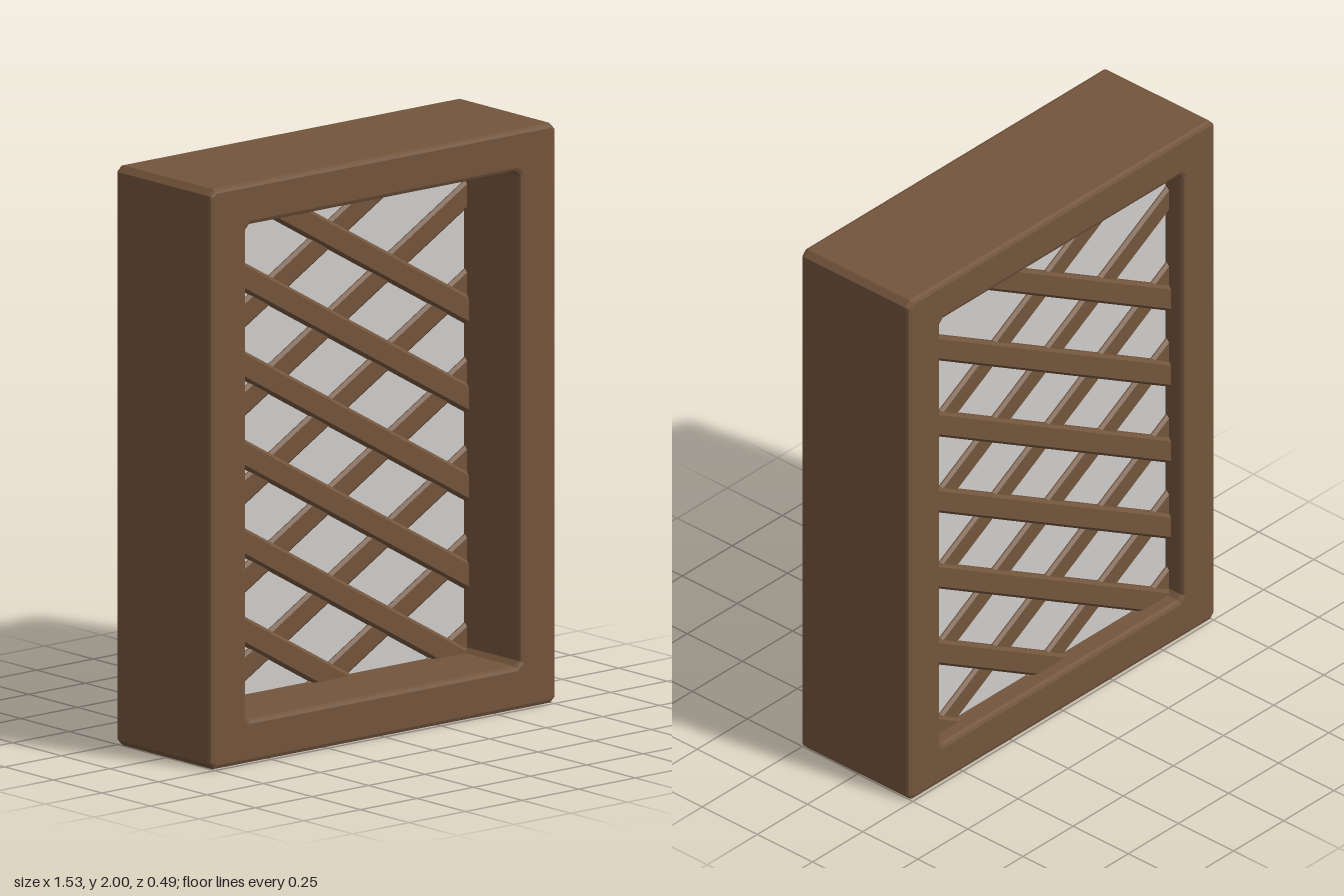
import * as THREE from 'three';

const wood = new THREE.MeshStandardMaterial({ color: 0x73553c });
wood.name = 'brown wood';
const glass = new THREE.MeshStandardMaterial({ color: 0xcfcdcb });
glass.name = 'pale grey glass';

// Rectangle with cut corners, centred on (0, cy)
function cutRect(w, h, cut, cy = 0, Type = THREE.Shape) {
  const x = w / 2, y = h / 2;
  return new Type([
    [-x + cut, -y], [x - cut, -y], [x, -y + cut], [x, y - cut],
    [x - cut, y], [-x + cut, y], [-x, y - cut], [-x, -y + cut],
  ].map(([a, b]) => new THREE.Vector2(a, b + cy)));
}

// Deep frame with softened edges around one opening
function makeFrame() {
  const b = 0.015, depth = 0.49;
  const shape = cutRect(1.53 - 2 * b, 2 - 2 * b, 0.012, 1);
  shape.holes.push(cutRect(1.21 + 2 * b, 1.705 + 2 * b, 0.025, 1.0025, THREE.Path));
  const geo = new THREE.ExtrudeGeometry(shape, {
    depth: depth - 2 * b, bevelEnabled: true, bevelSize: b, bevelThickness: b, bevelSegments: 2,
  });
  geo.translate(0, 0, -depth / 2 + b);
  const mesh = new THREE.Mesh(geo, wood);
  mesh.name = 'frame';
  return mesh;
}

// One slanted slat through (0, y0), trimmed so its ends sit inside the frame
function makeSlat(y0, side, zBack, zFront) {
  const slope = Math.tan(Math.PI / 6);
  const yMin = 0.1, yMax = 1.9;
  const x1 = Math.max(-0.65, (y0 - yMax) / slope);
  const x2 = Math.min(0.65, (y0 - yMin) / slope);
  const length = (x2 - x1) / Math.cos(Math.PI / 6);
  const geo = new THREE.ExtrudeGeometry(cutRect(zFront - zBack, 0.087, 0.01), {
    depth: length, bevelEnabled: false,
  });
  geo.translate(0, 0, -length / 2);
  geo.rotateY(Math.PI / 2);
  const mesh = new THREE.Mesh(geo, wood);
  const mid = (x1 + x2) / 2;
  mesh.position.set(side * mid, y0 - slope * mid, (zBack + zFront) / 2);
  mesh.rotation.z = -side * Math.PI / 6;
  return mesh;
}

export function createModel() {
  const model = new THREE.Group();
  model.name = 'latticeWindow';
  model.add(makeFrame());

  // Pane set toward the back of the opening
  const pane = new THREE.Mesh(new THREE.BoxGeometry(1.24, 1.74, 0.12), glass);
  pane.name = 'pane';
  pane.position.set(0, 1.0025, -0.105);
  model.add(pane);

  // Two crossing sets of slats, one standing prouder at the front, one at the back
  const front = new THREE.Group(), back = new THREE.Group();
  front.name = 'frontLattice';
  back.name = 'backLattice';
  for (let i = 0; i < 7; i++) {
    const y0 = -0.15 + i * 0.305;
    front.add(makeSlat(y0, 1, -0.18, -0.02));
    back.add(makeSlat(y0, -1, -0.19, -0.03));
  }
  model.add(front, back);
  return model;
}
